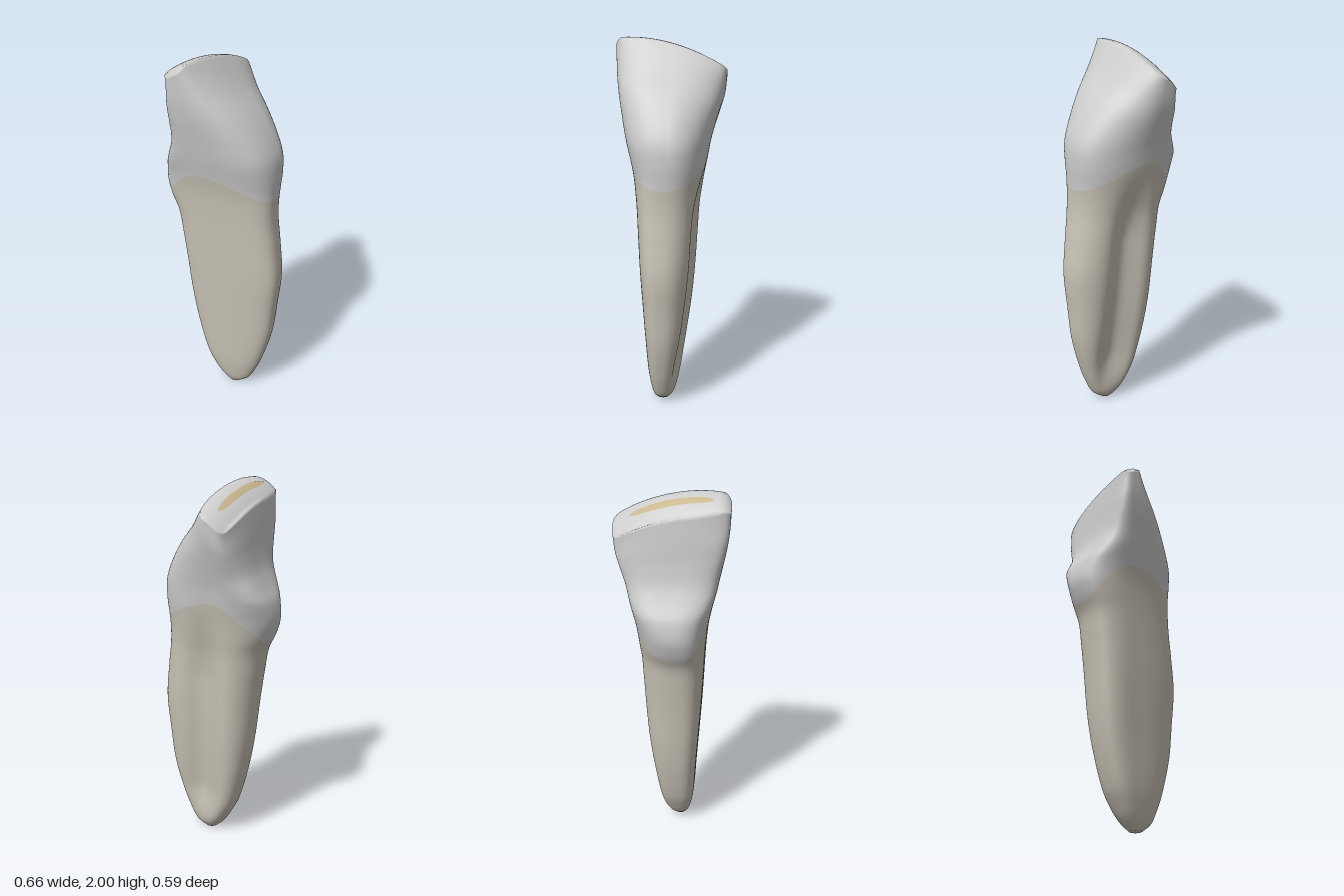
import * as THREE from 'three';

// Cross-sections: height, xMin, xMax, x of widest depth, zMin, zMax, squareness power
const RINGS = [
  [0.00, 0.035, 0.10, 0.07, 0.00, 0.065, 1.0],
  [0.04, -0.01, 0.155, 0.06, -0.035, 0.085, 0.95],
  [0.10, -0.05, 0.19, 0.03, -0.062, 0.10, 0.9],
  [0.20, -0.10, 0.23, 0.00, -0.085, 0.115, 0.85],
  [0.40, -0.155, 0.285, -0.02, -0.112, 0.128, 0.82],
  [0.60, -0.19, 0.308, -0.04, -0.136, 0.142, 0.82],
  [0.80, -0.213, 0.325, -0.05, -0.153, 0.155, 0.82],
  [1.00, -0.24, 0.305, -0.05, -0.165, 0.165, 0.82],
  [1.12, -0.262, 0.29, -0.05, -0.171, 0.171, 0.83],
  [1.21, -0.305, 0.285, -0.05, -0.18, 0.178, 0.84],
  [1.30, -0.33, 0.287, -0.05, -0.19, 0.188, 0.85],
  [1.40, -0.315, 0.292, -0.05, -0.205, 0.207, 0.86],
  [1.50, -0.272, 0.284, -0.05, -0.22, 0.23, 0.88],
  [1.60, -0.238, 0.245, -0.06, -0.24, 0.25, 0.9],
  [1.72, -0.22, 0.172, -0.08, -0.265, 0.272, 0.87],
  [1.85, -0.212, 0.065, -0.11, -0.287, 0.287, 0.75],
  [2.00, -0.202, -0.04, -0.12, -0.297, 0.293, 0.55],
];
const SIDES = 112, ROOT_ROWS = 70, CROWN_ROWS = 50, CAP_ROWS = 10;
const smooth = THREE.MathUtils.smoothstep;

// Hermite interpolation of the cross-section table
function ringAt(y) {
  let i = 0;
  while (i < RINGS.length - 2 && y > RINGS[i + 1][0]) i++;
  const a = RINGS[i], b = RINGS[i + 1], h = b[0] - a[0], t = (y - a[0]) / h;
  const slope = (k, c) => {
    const p = RINGS[Math.max(k - 1, 0)], n = RINGS[Math.min(k + 1, RINGS.length - 1)];
    return (n[c] - p[c]) / (n[0] - p[0]);
  };
  return a.map((v, c) => {
    const t2 = t * t, t3 = t2 * t;
    return v * (2 * t3 - 3 * t2 + 1) + b[c] * (3 * t2 - 2 * t3)
      + h * (slope(i, c) * (t3 - 2 * t2 + t) + slope(i + 1, c) * (t3 - t2));
  });
}

// Height of the worn biting facet, falling to the back and to the right
function facet(x, z) {
  const drop = Math.max(0, -0.06 - 0.13 * z - x);
  return 2 - 0.6 * (0.2 - z) ** 2 - 18 * Math.max(0, z - 0.25) ** 2
    - Math.min(0.09, 4 * drop ** 2 + 0.15 * drop);
}

// Corner squareness of each quadrant: fuller in front, rounder behind
function cornerPower(c, s, y) {
  let p = s > 0 ? -0.1 * (1 - smooth(y, 1.8, 2)) : 0;
  if (c < 0) p -= 0.3 * smooth(y, 1.3, 1.52) * (1 - smooth(y, 1.7, 1.98));
  if (c < 0 && s < 0) p += 0.13 * smooth(y, 0.4, 0.9) * (1 - smooth(y, 1.25, 1.42));
  if (c > 0) p += (s > 0 ? -0.06 : 0.1) * smooth(y, 1.3, 1.5) * (1 - smooth(y, 1.75, 2));
  return p;
}

// Point on the tooth wall
function wall(angle, y) {
  const [, x0, x1, cx, z0, z1, power] = ringAt(y);
  const c = Math.cos(angle), s = Math.sin(angle);
  const p = power + cornerPower(c, s, y);
  const zc = 0.03 * (1 - smooth(y, 1.1, 1.5)) - 0.02 * smooth(y, 1.2, 1.5);
  let x = cx + Math.sign(c) * Math.abs(c) ** p * (c > 0 ? x1 - cx : cx - x0);
  let z = zc + Math.sign(s) * Math.abs(s) ** p * (s > 0 ? z1 - zc : zc - z0);
  // Long shallow groove down the back of the root
  const groove = smooth(y, 0.0, 0.3) * (1 - smooth(y, 0.95, 1.4));
  const dip = Math.exp(-(((x - 0.1 + 0.06 * y) / 0.1) ** 2));
  if (s < 0) z += 0.06 * groove * dip * Math.min(1, -s * 1.3);
  // The biting edge runs slightly askew, more so on its left side
  x -= (0.095 + 0.03 * c) * z * smooth(y, 1.4, 2);
  if (y > 1.4) y = 1.4 + (y - 1.4) * (facet(x, z) - 1.4) / 0.6;
  return [x, y, z];
}

// Line where crown meets root: arched at front and back, low at the sides
function neckLine(angle) {
  const c = Math.cos(angle);
  return 1.4 - (c > 0 ? 0.13 : 0.23) * Math.abs(c) ** 1.3;
}

export function createModel() {
  const group = new THREE.Group();
  group.name = 'tooth';
  const pos = [], rows = ROOT_ROWS + CROWN_ROWS + CAP_ROWS;

  for (let i = 0; i <= rows; i++) {
    for (let j = 0; j < SIDES; j++) {
      const angle = (j / SIDES) * Math.PI * 2, neck = neckLine(angle);
      if (i <= ROOT_ROWS) {
        pos.push(...wall(angle, neck * (i / ROOT_ROWS) ** 1.3));
      } else if (i <= ROOT_ROWS + CROWN_ROWS) {
        pos.push(...wall(angle, neck + (2 - neck) * (i - ROOT_ROWS) / CROWN_ROWS));
      } else {
        // Facet rows shrink towards the middle of the edge
        const k = 1 - (i - ROOT_ROWS - CROWN_ROWS) / CAP_ROWS;
        const [ex, , ez] = wall(angle, 2);
        const x = -0.12 + (ex + 0.12) * k, z = ez * k;
        pos.push(x, facet(x, z), z);
      }
    }
  }
  const tip = pos.length / 3;
  pos.push(0.068, 0, 0.032);

  // Faces between two rows
  const band = (from, to) => {
    const index = [];
    for (let i = from; i < to; i++) {
      for (let j = 0; j < SIDES; j++) {
        const n = (j + 1) % SIDES;
        const a = i * SIDES + j, b = i * SIDES + n, c = a + SIDES, d = b + SIDES;
        index.push(a, c, b, b, c, d);
      }
    }
    return index;
  };
  const rootIndex = band(0, ROOT_ROWS), crownIndex = band(ROOT_ROWS, rows);
  for (let j = 0; j < SIDES; j++) rootIndex.push(tip, j, (j + 1) % SIDES);

  // Shared normals keep the neck seamless
  const whole = new THREE.BufferGeometry();
  whole.setAttribute('position', new THREE.Float32BufferAttribute(pos, 3));
  whole.setIndex([...rootIndex, ...crownIndex]);
  whole.computeVertexNormals();

  const addPart = (name, geometry, color) => {
    const mesh = new THREE.Mesh(geometry, new THREE.MeshStandardMaterial({ color }));
    mesh.name = name;
    group.add(mesh);
  };
  const part = (index) => {
    const g = new THREE.BufferGeometry();
    g.setAttribute('position', whole.getAttribute('position'));
    g.setAttribute('normal', whole.getAttribute('normal'));
    g.setIndex(index);
    return g;
  };
  addPart('root', part(rootIndex), 0xc9c3b6);
  addPart('crown', part(crownIndex), 0xcccccc);

  // Exposed inner layer: a thin strip along the worn edge
  const strip = new THREE.PlaneGeometry(1, 1, 4, 30).rotateX(-Math.PI / 2);
  const p = strip.getAttribute('position');
  for (let i = 0; i < p.count; i++) {
    const t = p.getZ(i), z = t * 0.42;
    const width = 0.034 * Math.sqrt(Math.max(0, 1 - (2 * t) ** 4));
    const x = -0.127 - 0.12 * z + p.getX(i) * width;
    p.setXYZ(i, x, facet(x, z) + 0.003, z);
  }
  strip.computeVertexNormals();
  addPart('wornEdgeStrip', strip, 0xc6b48c);
  return group;
}
